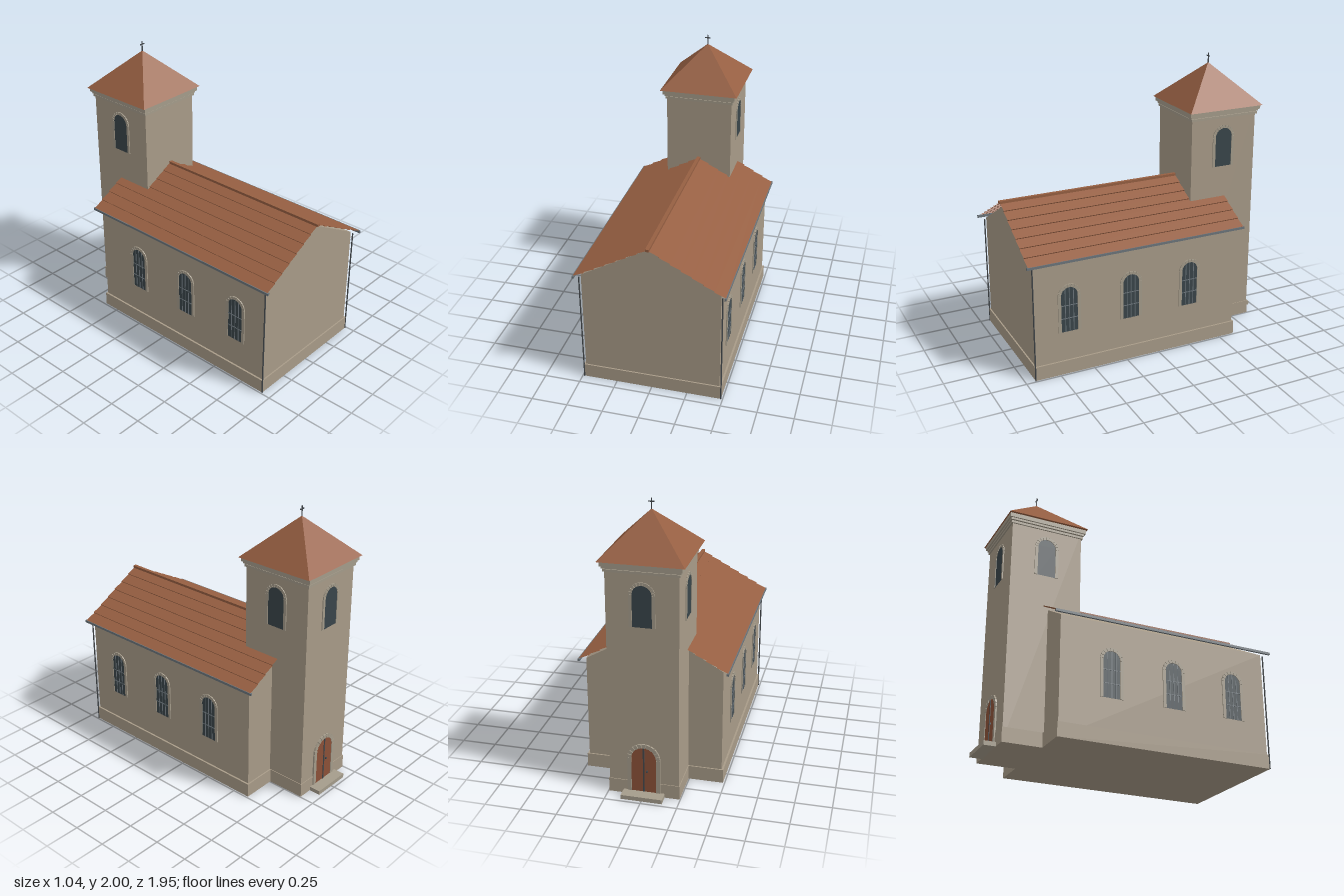
import * as THREE from 'three';

const mat = (name, color, extra = {}) => {
  const m = new THREE.MeshStandardMaterial({ color, ...extra });
  m.name = name;
  return m;
};

export function createModel() {
  const wall = mat('plaster', 0xa89b88);
  const trim = mat('stone trim', 0xa59c8b);
  const tile = mat('roof tile', 0x965f42, { side: THREE.DoubleSide, flatShading: true });
  const glass = mat('dark glass', 0x39454a);
  const metal = mat('gutter metal', 0x6c757b);
  const iron = mat('dark iron', 0x44494d);
  const wood = mat('door wood', 0x8c5138);

  const church = new THREE.Group();
  church.name = 'church';

  const add = (parent, name, geo, material, x = 0, y = 0, z = 0) => {
    const m = new THREE.Mesh(geo, material);
    m.name = name;
    m.position.set(x, y, z);
    parent.add(m);
    return m;
  };
  // Box given by its limits on each axis
  const block = (parent, name, material, [x0, x1], [y0, y1], [z0, z1]) =>
    add(parent, name, new THREE.BoxGeometry(x1 - x0, y1 - y0, z1 - z0), material,
      (x0 + x1) / 2, (y0 + y1) / 2, (z0 + z1) / 2);

  // Nave: gabled body and plinth
  const gable = new THREE.Shape([[-0.475, 0], [0.475, 0], [0.475, 0.84], [0, 1.11], [-0.475, 0.84]]
    .map(([x, y]) => new THREE.Vector2(x, y)));
  add(church, 'nave', new THREE.ExtrudeGeometry(gable, { depth: 1.53, bevelEnabled: false }), wall, 0, 0, -0.61);
  block(church, 'navePlinth', wall, [-0.488, 0.488], [0, 0.1], [-0.62, 0.93]);

  // Nave roof: one sheet per side, stepped where the tile courses overlap
  const courses = 7, zFront = 0.965, zBack = -0.655, lift = 0.008;
  const ridge = new THREE.Vector2(0, 1.125), eave = new THREE.Vector2(0.51, 0.846);
  const normal = new THREE.Vector2(ridge.y - eave.y, eave.x).normalize().multiplyScalar(lift);
  const profile = [];
  for (let i = 0; i < courses; i++) {
    const low = ridge.clone().lerp(eave, (i + 1) / courses);
    profile.push(ridge.clone().lerp(eave, i / courses), low.clone().add(normal));
  }
  profile.push(eave);
  const corners = [];
  for (let i = 0; i < profile.length - 1; i++) {
    const a = profile[i], b = profile[i + 1];
    for (const [p, z] of [[a, zBack], [a, zFront], [b, zFront], [a, zBack], [b, zFront], [b, zBack]])
      corners.push(p.x, p.y, z);
  }
  const roofGeo = new THREE.BufferGeometry();
  roofGeo.setAttribute('position', new THREE.Float32BufferAttribute(corners, 3));
  roofGeo.computeVertexNormals();
  for (const s of [1, -1]) {
    const side = s > 0 ? 'left' : 'right';
    add(church, side + 'Roof', roofGeo, tile).scale.x = s;
    block(church, side + 'Gutter', metal, [s * 0.512 - 0.007, s * 0.512 + 0.007], [0.836, 0.853], [-0.662, 0.973]);
    add(church, side + 'Downpipe', new THREE.CylinderGeometry(0.005, 0.005, 0.825, 8), iron, s * 0.487, 0.4125, 0.929);
  }
  block(church, 'ridgeCap', tile, [-0.0125, 0.0125], [1.12, 1.138], [-0.4, 0.972]);

  // Tower: shaft, plinth, cornice and pyramid roof
  const tower = new THREE.Group();
  tower.name = 'tower';
  tower.position.z = -0.632;
  church.add(tower);
  for (const [name, m, hx, hz, y0, y1] of [
    ['towerShaft', wall, 0.24, 0.256, 0, 1.64],
    ['towerPlinth', wall, 0.245, 0.261, 0, 0.1],
    ['lowerCornice', trim, 0.25, 0.266, 1.585, 1.602],
    ['middleCornice', trim, 0.256, 0.272, 1.607, 1.622],
    ['upperCornice', trim, 0.266, 0.282, 1.622, 1.652],
  ]) block(tower, name, m, [-hx, hx], [y0, y1], [-hz, hz]);
  const pyramid = new THREE.ConeGeometry(Math.SQRT2, 0.28, 4).rotateY(Math.PI / 4);
  add(tower, 'towerRoof', pyramid, tile, 0, 1.792, 0).scale.set(0.284, 1, 0.291);
  block(tower, 'crossPost', iron, [-0.003, 0.003], [1.92, 2], [-0.003, 0.003]);
  block(tower, 'crossArm', iron, [-0.02, 0.02], [1.975, 1.982], [-0.003, 0.003]);

  // Arched panel outline of half width r, standing on y = 0
  const archShape = (r, spring) => {
    const s = new THREE.Shape();
    s.moveTo(-r, 0);
    s.lineTo(r, 0);
    s.lineTo(r, spring);
    s.absarc(0, spring, r, 0, Math.PI, false);
    return s;
  };
  // Arched opening facing +z: panel, jambs and a ring of arch stones
  const arch = (parent, name, panel, r, band, spring, stones) => {
    const g = new THREE.Group();
    g.name = name;
    parent.add(g);
    add(g, 'panel', new THREE.ShapeGeometry(archShape(r, spring), 16), panel, 0, 0, 0.003);
    for (const s of [-1, 1])
      block(g, 'jamb', trim, [s * (r + band / 2) - band / 2, s * (r + band / 2) + band / 2], [0, spring], [-0.004, 0.007]);
    for (let i = 0; i < stones; i++) {
      const a0 = Math.PI * i / stones + 0.02, a1 = Math.PI * (i + 1) / stones - 0.02;
      const wedge = new THREE.Shape();
      wedge.absarc(0, 0, r + band, a0, a1, false);
      wedge.absarc(0, 0, r, a1, a0, true);
      add(g, 'archStone', new THREE.ExtrudeGeometry(wedge, { depth: 0.012, bevelEnabled: false, curveSegments: 3 }),
        trim, 0, spring, -0.004);
    }
    return g;
  };

  // Three barred nave windows on each side
  for (const s of [1, -1]) for (const z of [0.67, 0.212, -0.246]) {
    const w = arch(church, 'naveWindow', glass, 0.06, 0.022, 0.268, 9);
    w.position.set(s * 0.475, 0.315, z);
    w.rotation.y = s * Math.PI / 2;
    for (const x of [-0.03, 0, 0.03])
      block(w, 'windowBar', metal, [x - 0.0025, x + 0.0025],
        [0, 0.268 + Math.sqrt(0.06 * 0.06 - x * x)], [0.002, 0.006]);
    for (const y of [0.1, 0.195])
      block(w, 'windowCrossbar', metal, [-0.06, 0.06], [y - 0.0025, y + 0.0025], [0.002, 0.006]);
  }

  // Belfry openings on the two sides and the back
  for (const [x, z, turn] of [[0.24, 0, Math.PI / 2], [-0.24, 0, -Math.PI / 2], [0, -0.256, Math.PI]]) {
    const w = arch(tower, 'belfryOpening', glass, 0.065, 0.021, 0.218, 11);
    w.position.set(x, 1.227, z);
    w.rotation.y = turn;
  }

  // Entrance door and step at the back of the tower
  const door = arch(tower, 'entranceDoor', wood, 0.085, 0.028, 0.25, 11);
  door.position.set(0, 0.028, -0.261);
  door.rotation.y = Math.PI;
  block(door, 'doorStrip', iron, [-0.005, 0.005], [0, 0.332], [0.002, 0.007]);
  block(door, 'doorHandle', iron, [0.018, 0.028], [0.155, 0.167], [0.002, 0.012]);
  block(church, 'doorStep', trim, [-0.142, 0.142], [0, 0.03], [-0.975, -0.88]);

  return church;
}
